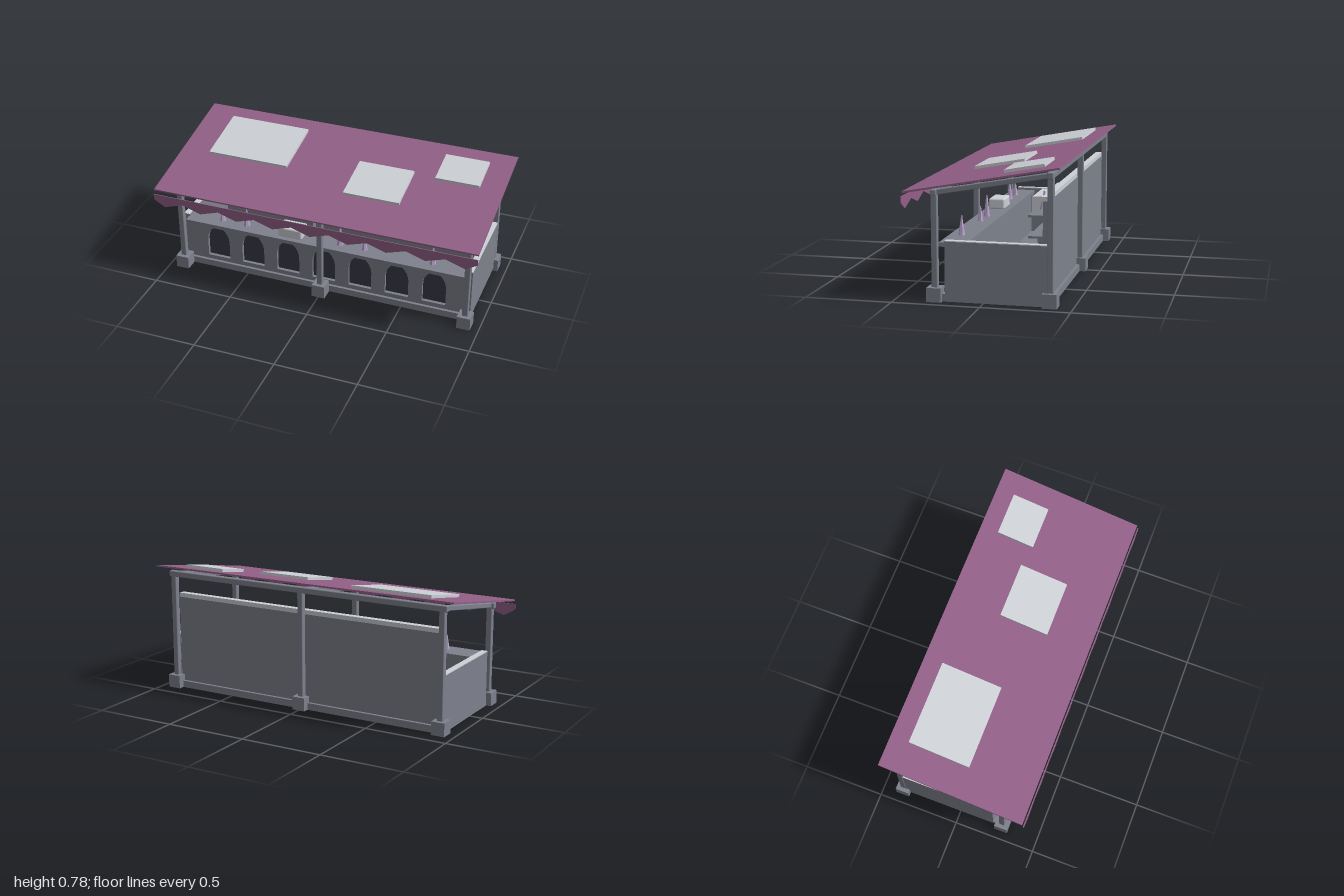
import * as THREE from 'three';
import { RoundedBoxGeometry } from 'three/addons/geometries/RoundedBoxGeometry.js';

export function createModel() {
  const mat = (name, color, extra = {}) => {
    const m = new THREE.MeshStandardMaterial({ color, ...extra });
    m.name = name;
    return m;
  };
  const stone = mat('slate grey', 0x7e828d);
  const pale = mat('pale grey', 0xcdd0d6);
  const purple = mat('awning purple', 0x925f87, { side: THREE.DoubleSide });
  const dark = mat('dark recess', 0x3a3a48);
  const lilac = mat('lilac', 0xb9a2cc, { flatShading: true });

  const model = new THREE.Group();
  model.name = 'marketStall';

  const add = (name, geo, material, x = 0, y = 0, z = 0, parent = model) => {
    const mesh = new THREE.Mesh(geo, material);
    mesh.name = name;
    mesh.position.set(x, y, z);
    parent.add(mesh);
    return mesh;
  };
  // Box given by its extents on each axis
  const block = (name, material, [x0, x1], [y0, y1], [z0, z1], round = 0, parent = model) => {
    const s = [x1 - x0, y1 - y0, z1 - z0];
    const geo = round ? new RoundedBoxGeometry(...s, 2, round) : new THREE.BoxGeometry(...s);
    return add(name, geo, material, (x0 + x1) / 2, (y0 + y1) / 2, (z0 + z1) / 2, parent);
  };

  // Frame: posts on square feet, beams and sloping rafters
  const frontZ = 0.273, backZ = -0.374, r = 0.0175;
  const frontTop = 0.625, backTop = 0.74;
  for (const x of [-0.91, 0, 0.91]) {
    for (const [z, top] of [[frontZ, frontTop], [backZ, backTop]]) {
      block('post', stone, [x - r, x + r], [0.04, top], [z - r, z + r], 0.005);
      block('postFoot', stone, [x - 0.041, x + 0.041], [0, 0.08], [z - 0.041, z + 0.041]);
    }
    const dz = frontZ - backZ, dy = backTop - frontTop;
    const rafter = add('rafter', new RoundedBoxGeometry(0.03, 0.03, Math.hypot(dz, dy), 2, 0.005), stone,
      x, (frontTop + backTop) / 2 - r, (frontZ + backZ) / 2);
    rafter.rotation.x = Math.atan2(dy, dz);
  }
  block('frontBeam', stone, [-0.94, 0.94], [frontTop - 0.036, frontTop], [frontZ - r, frontZ + r], 0.006);
  block('backBeam', stone, [-0.94, 0.94], [backTop - 0.036, backTop], [backZ - r, backZ + r], 0.006);

  // Floor and walls
  block('floor', stone, [-0.92, 0.92], [0, 0.042], [-0.378, 0.232]);
  block('backWall', stone, [-0.89, 0.89], [0.04, 0.575], [-0.36, -0.325]);
  block('backWallCap', pale, [-0.89, 0.89], [0.575, 0.6], [-0.358, -0.319]);
  for (const s of [-1, 1]) {
    const xs = s > 0 ? [0.888, 0.925] : [-0.925, -0.888];
    block('sideWall', stone, xs, [0.02, 0.338], [-0.362, 0.215]);
    block('sideWallCap', pale, xs, [0.338, 0.343], [-0.362, 0.215]);
  }

  // Counter front pierced by seven pointed arches
  const front = new THREE.Shape();
  front.moveTo(-0.888, 0.04).lineTo(0.888, 0.04).lineTo(0.888, 0.305).lineTo(-0.888, 0.305).closePath();
  for (let i = -3; i <= 3; i++) {
    const x = i * 0.2325, w = 0.073;
    const arch = new THREE.Path();
    arch.moveTo(x - w, 0.07);
    arch.lineTo(x - w, 0.19);
    arch.quadraticCurveTo(x - w + 0.006, 0.262, x, 0.295);
    arch.quadraticCurveTo(x + w - 0.006, 0.262, x + w, 0.19);
    arch.lineTo(x + w, 0.07);
    arch.closePath();
    front.holes.push(arch);
  }
  add('counterFront', new THREE.ExtrudeGeometry(front, { depth: 0.02, bevelEnabled: false, curveSegments: 8 }),
    stone, 0, 0, 0.195);
  block('archRecess', dark, [-0.88, 0.88], [0.045, 0.3], [0.188, 0.195]);
  block('counterBody', stone, [-0.888, 0.888], [0.04, 0.303], [0.12, 0.188]);
  block('counterTop', stone, [-0.895, 0.895], [0.302, 0.326], [0.1, 0.256]);

  // Shelves on the back wall
  for (const y of [0.355, 0.471]) block('shelf', stone, [-0.815, 0.815], [y, y + 0.012], [-0.325, -0.228]);
  for (const x of [-0.6, 0, 0.6]) block('shelfBracket', stone, [x - 0.01, x + 0.01], [0.335, 0.355], [-0.325, -0.25]);

  // Oven on a stand
  block('ovenStand', stone, [-0.45, -0.18], [0.04, 0.31], [-0.23, -0.07]);
  block('ovenBody', pale, [-0.47, -0.165], [0.31, 0.413], [-0.24, -0.06]);
  block('ovenDoor', pale, [-0.47, -0.165], [0.31, 0.41], [-0.06, -0.04]);
  block('ovenWindow', dark, [-0.435, -0.3], [0.325, 0.376], [-0.041, -0.036]);
  block('ovenHandle', stone, [-0.2, -0.185], [0.33, 0.41], [-0.041, -0.032]);
  block('ovenVent', stone, [-0.166, -0.162], [0.364, 0.379], [-0.188, -0.104]);

  // Rounded containers
  block('counterBox', pale, [-0.29, -0.135], [0.326, 0.394], [0.13, 0.232], 0.012);
  block('lowerShelfBox', pale, [-0.04, 0.14], [0.367, 0.43], [-0.313, -0.24], 0.01);
  block('upperShelfBox', pale, [0.065, 0.185], [0.483, 0.545], [-0.313, -0.24], 0.01);

  // Faceted tapering bottles: x, base y, z, height, radius
  const bottles = [
    [-0.675, 0.326, 0.185, 0.09, 0.018], [-0.513, 0.326, 0.185, 0.11, 0.02],
    [0.096, 0.326, 0.185, 0.13, 0.02], [0.251, 0.326, 0.185, 0.09, 0.018],
    [0.674, 0.326, 0.185, 0.11, 0.02], [0.6, 0.483, -0.275, 0.1, 0.026],
    [0.63, 0.483, -0.275, 0.07, 0.02], [0.05, 0.367, -0.275, 0.07, 0.018],
  ];
  for (const [x, y, z, h, rad] of bottles) {
    const profile = [[0, 0], [rad, 0], [rad * 0.85, h * 0.15], [rad * 0.25, h * 0.9], [rad * 0.2, h], [0, h]];
    add('bottle', new THREE.LatheGeometry(profile.map(p => new THREE.Vector2(...p)), 6), lilac, x, y, z);
  }

  // Sloping roof with raised panels
  const slope = Math.atan2(0.157, 0.867), roofZ = -0.004;
  const roof = new THREE.Group();
  roof.name = 'roof';
  roof.position.set(0, 0.6935, roofZ);
  roof.rotation.x = slope;
  model.add(roof);
  block('roofSheet', purple, [-1, 1], [-0.005, 0.005], [-0.44, 0.44], 0, roof);
  for (const [x0, x1, z0, z1] of [
    [-0.815, -0.305, -0.33, 0.035], [0.105, 0.45, -0.13, 0.165], [0.585, 0.855, -0.33, -0.105]]) {
    const local = z => (z - roofZ) / Math.cos(slope);
    block('roofPanel', pale, [x0, x1], [0.004, 0.022], [local(z0), local(z1)], 0, roof);
  }

  // Zigzag valance hanging in front of the roof edge
  const valance = new THREE.Shape();
  valance.moveTo(1, 0.59).lineTo(-1, 0.59).lineTo(-1, 0.555);
  for (let i = 0; i < 9; i++) {
    const x = -0.93 + i * 0.2325;
    valance.lineTo(x, 0.514);
    if (i < 8) valance.lineTo(x + 0.116, 0.552);
  }
  valance.lineTo(1, 0.555);
  valance.closePath();
  add('valance', new THREE.ExtrudeGeometry(valance, { depth: 0.005, bevelEnabled: false }), purple, 0, 0, 0.434);

  return model;
}
